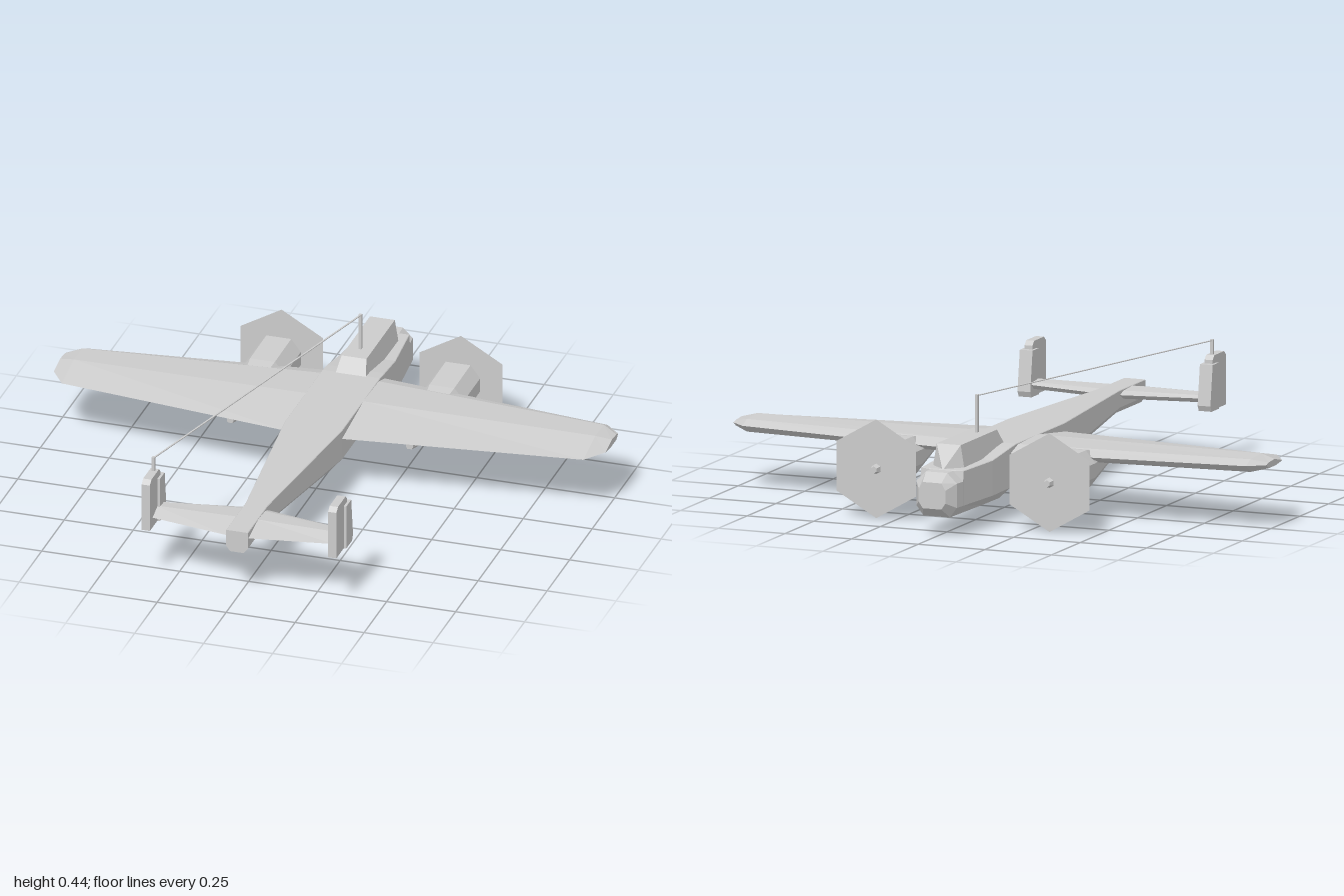
import * as THREE from 'three';

const grey = new THREE.MeshStandardMaterial({ color: 0xcccccc, flatShading: true });
const thin = new THREE.MeshStandardMaterial({ color: 0xcccccc, side: THREE.DoubleSide });

function part(name, geometry, material = grey) {
  const mesh = new THREE.Mesh(geometry, material);
  mesh.name = name;
  return mesh;
}

// Skin a list of equal-length rings of [x, y, z] points and close both ends.
function loft(rings) {
  const pos = [];
  const tri = (a, b, c) => pos.push(...a, ...b, ...c);
  const n = rings[0].length;
  for (let i = 0; i + 1 < rings.length; i++) {
    for (let j = 0; j < n; j++) {
      const k = (j + 1) % n;
      const [a, b, c, d] = [rings[i][j], rings[i][k], rings[i + 1][k], rings[i + 1][j]];
      tri(a, b, c);
      tri(a, c, d);
    }
  }
  const first = rings[0], last = rings[rings.length - 1];
  for (let j = 1; j + 1 < n; j++) {
    tri(first[0], first[j + 1], first[j]);
    tri(last[0], last[j], last[j + 1]);
  }
  const g = new THREE.BufferGeometry();
  g.setAttribute('position', new THREE.Float32BufferAttribute(pos, 3));
  g.computeVertexNormals();
  return g;
}

// Eight-sided section: half widths at side, top and bottom, and four heights.
function octagon(z, w, tw, bw, top, sideTop, sideBottom, bottom, cx = 0) {
  return [
    [w, sideBottom], [w, sideTop], [tw, top], [-tw, top],
    [-w, sideTop], [-w, sideBottom], [-bw, bottom], [bw, bottom],
  ].map(([x, y]) => [cx + x, y, z]);
}

// Section in the side plane, given as [z, y] from the top towards the rear.
const sideRing = (x, points) => points.map(([z, y]) => [x, y, z]);
const slab = (x0, x1, points) => loft([sideRing(x0, points), sideRing(x1, points)]);

// Six-point aerofoil between leading edge a and trailing edge b.
function aerofoil(x, a, b, top, mid, bottom) {
  const at = (t) => a + (b - a) * t;
  return sideRing(x, [
    [at(0.14), top - 0.004], [at(0.5), top], [b, mid - 0.006],
    [at(0.6), bottom], [at(0.15), bottom], [a, mid],
  ]);
}

// Mirror half-span sections into one full-span surface.
function span(stations) {
  const left = stations.map((s) => aerofoil(...s));
  const right = stations.map(([x, ...r]) => aerofoil(-x, ...r)).reverse();
  return loft([...right, ...left]);
}

function engine(side) {
  const g = new THREE.Group();
  g.name = side > 0 ? 'leftEngine' : 'rightEngine';
  const cx = side * 0.325;
  g.add(part('nacelle', loft([
    octagon(-0.58, 0.08, 0.045, 0.04, 0.26, 0.215, 0.165, 0.105, cx),
    octagon(-0.4, 0.08, 0.045, 0.04, 0.258, 0.215, 0.165, 0.105, cx),
    octagon(-0.04, 0.012, 0.008, 0.008, 0.21, 0.205, 0.195, 0.188, cx),
  ])));
  const spinner = part('spinner', new THREE.CylinderGeometry(0.012, 0.027, 0.055, 6));
  spinner.rotation.x = -Math.PI / 2;
  spinner.position.set(cx, 0.178, -0.607);
  const disc = part('propellerDisc', new THREE.CircleGeometry(0.173, 6, Math.PI / 2), thin);
  disc.position.set(cx, 0.178, -0.612);
  g.add(spinner, disc);
  return g;
}

function tailFin(side) {
  const g = new THREE.Group();
  g.name = side > 0 ? 'leftTailFin' : 'rightTailFin';
  const c = side * 0.338;
  g.add(part('fin', slab(c - 0.024, c + 0.024, [
    [0.72, 0.362], [0.775, 0.362], [0.775, 0.2], [0.71, 0.2], [0.7, 0.22],
  ])));
  g.add(part('rudder', slab(c - 0.015, c + 0.015, [
    [0.755, 0.39], [0.84, 0.39], [0.857, 0.375], [0.857, 0.2], [0.74, 0.2], [0.74, 0.375],
  ])));
  return g;
}

export function createModel() {
  const plane = new THREE.Group();
  plane.name = 'twinEngineAircraft';

  // Fuselage: glazed nose, deep forward belly, then a long tapering tail
  plane.add(part('fuselage', loft([
    octagon(-0.88, 0.05, 0.035, 0.035, 0.2, 0.175, 0.13, 0.108),
    octagon(-0.84, 0.076, 0.04, 0.05, 0.23, 0.195, 0.11, 0.075),
    octagon(-0.795, 0.08, 0.042, 0.052, 0.23, 0.195, 0.11, 0.075),
    octagon(-0.79, 0.08, 0.078, 0.052, 0.232, 0.23, 0.11, 0.075),
    octagon(-0.58, 0.098, 0.096, 0.06, 0.234, 0.232, 0.11, 0.075),
    octagon(-0.44, 0.105, 0.103, 0.062, 0.255, 0.253, 0.115, 0.075),
    octagon(-0.39, 0.105, 0.103, 0.062, 0.26, 0.258, 0.15, 0.1),
    octagon(0.03, 0.105, 0.103, 0.062, 0.26, 0.258, 0.15, 0.1),
    octagon(0.66, 0.04, 0.038, 0.025, 0.26, 0.258, 0.2, 0.18),
    octagon(0.88, 0.04, 0.038, 0.025, 0.26, 0.258, 0.2, 0.18),
  ])));

  // Cockpit canopy with a wedge windscreen
  const canopy = (z, base, crown, y0, y1) =>
    [[base, y0], [crown, y1], [-crown, y1], [-base, y0]].map(([x, y]) => [x, y, z]);
  plane.add(part('canopy', loft([
    canopy(-0.785, 0.004, 0.003, 0.22, 0.232),
    canopy(-0.735, 0.06, 0.045, 0.22, 0.31),
    canopy(-0.42, 0.06, 0.045, 0.22, 0.31),
    canopy(-0.383, 0.06, 0.055, 0.22, 0.258),
  ])));

  // Main wing and tailplane
  plane.add(part('wing', span([
    [0.105, -0.44, 0.035, 0.26, 0.235, 0.208],
    [0.945, -0.34, -0.07, 0.257, 0.235, 0.208],
    [1.0, -0.29, -0.15, 0.244, 0.234, 0.22],
  ])));
  plane.add(part('tailplane', span([
    [0.04, 0.66, 0.875, 0.258, 0.243, 0.225],
    [0.335, 0.715, 0.825, 0.256, 0.243, 0.227],
  ])));

  for (const side of [1, -1]) plane.add(engine(side), tailFin(side));

  // Aerial masts and the wire between them
  const mast = (name, x, y0, z) => {
    const m = part(name, new THREE.BoxGeometry(0.011, 0.442 - y0, 0.011));
    m.position.set(x, (y0 + 0.442) / 2, z);
    return m;
  };
  plane.add(mast('aerialMast', 0, 0.3, -0.49), mast('finMast', -0.338, 0.38, 0.77));
  const from = new THREE.Vector3(0, 0.438, -0.49), to = new THREE.Vector3(-0.338, 0.438, 0.77);
  const wire = part('aerialWire', new THREE.BoxGeometry(0.006, 0.003, from.distanceTo(to)));
  wire.position.copy(from).lerp(to, 0.5);
  wire.lookAt(to);
  plane.add(wire);

  return plane;
}
